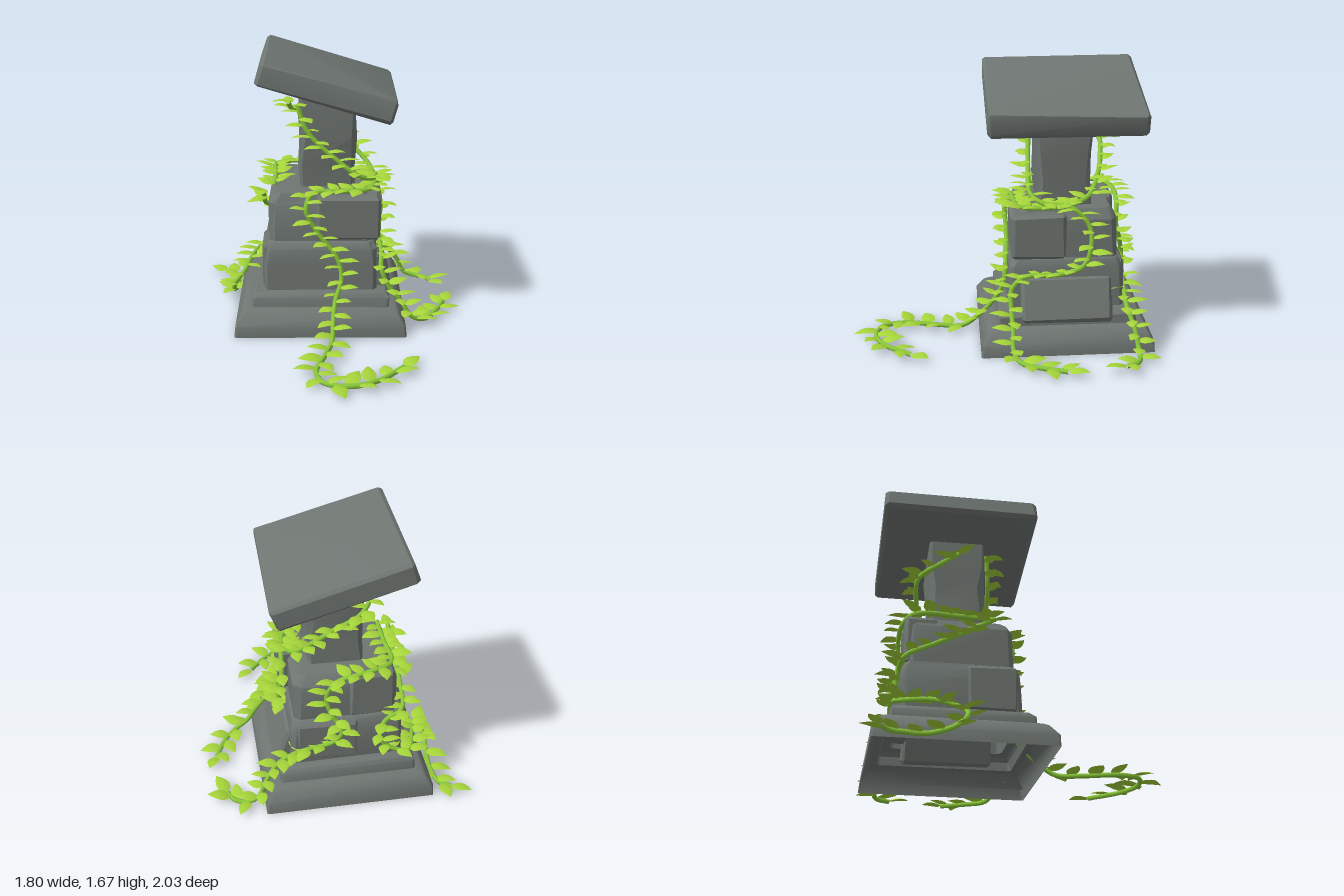
import * as THREE from 'three';
import { toCreasedNormals } from 'three/addons/utils/BufferGeometryUtils.js';
import { ConvexGeometry } from 'three/addons/geometries/ConvexGeometry.js';

const stone = new THREE.MeshStandardMaterial({ color: 0x6f7672, side: THREE.DoubleSide });
stone.name = 'stone grey';
const stemGreen = new THREE.MeshStandardMaterial({ color: 0x8ac83a });
stemGreen.name = 'vine green';
const leafGreen = new THREE.MeshStandardMaterial({ color: 0xa6d53a, side: THREE.DoubleSide });
leafGreen.name = 'leaf green';

const CENTER = new THREE.Vector3(0.07, 0, -0.07);
const TURN = 0.71;

// Small seeded random, -1 to 1
let seed = 11;
function rand() {
  seed = (seed * 16807) % 2147483647;
  return (seed / 2147483647) * 2 - 1;
}

function addMesh(parent, name, geometry, material) {
  const mesh = new THREE.Mesh(geometry, material);
  mesh.name = name;
  parent.add(mesh);
  return mesh;
}

// Hollow square tower with cut corners; rings are [y, half width, corner cut, z offset, roughness]
function towerGeometry(rings) {
  const pos = [], index = [];
  rings.forEach(([y, h, c, oz, rough], i) => {
    const k = h - c;
    const ring = [[h, -k], [h, k], [k, h], [-k, h], [-h, k], [-h, -k], [-k, -h], [k, -h]];
    ring.forEach(([x, z], j) => {
      pos.push(x + rand() * rough, y, z + oz + rand() * rough);
      if (i === 0) return;
      const a = (i - 1) * 8 + j, b = (i - 1) * 8 + (j + 1) % 8;
      index.push(a, a + 8, b, b, a + 8, b + 8);
    });
  });
  const geo = new THREE.BufferGeometry();
  geo.setAttribute('position', new THREE.Float32BufferAttribute(pos, 3));
  geo.setIndex(index);
  geo.computeVertexNormals();
  return toCreasedNormals(geo, 0.6);
}

// Chiselled block with chamfered edges
function blockGeometry(w, h, d, c, rough) {
  const pts = [];
  for (const x of [-1, 1]) for (const y of [-1, 1]) for (const z of [-1, 1]) {
    for (let axis = 0; axis < 3; axis++) {
      const cut = [c, c, c];
      cut[axis] = 0;
      pts.push(new THREE.Vector3(
        x * (w / 2 - cut[0]) + rand() * rough,
        y * (h / 2 - cut[1]) + rand() * rough,
        z * (d / 2 - cut[2]) + rand() * rough));
    }
  }
  return toCreasedNormals(new ConvexGeometry(pts), 0.5);
}

// Pointed leaf along +z, folded along its midrib and arched
function leafGeometry() {
  const pos = [], index = [], steps = 6;
  for (let i = 0; i <= steps; i++) {
    const t = i / steps;
    const half = 0.038 * Math.sin(Math.PI * Math.pow(t, 0.75));
    const y = 0.014 * Math.sin(Math.PI * t);
    pos.push(-half, y - half * 0.25, t * 0.13, 0, y, t * 0.13, half, y - half * 0.25, t * 0.13);
    if (i === 0) continue;
    for (let j = 0; j < 2; j++) {
      const a = (i - 1) * 3 + j;
      index.push(a, a + 3, a + 1, a + 1, a + 3, a + 4);
    }
  }
  const geo = new THREE.BufferGeometry();
  geo.setAttribute('position', new THREE.Float32BufferAttribute(pos, 3));
  geo.setIndex(index);
  geo.computeVertexNormals();
  return geo;
}

// Stem along a curve, with leaves alternating to either side, denser on the walls
function makeVine(name, points, leafGeo) {
  const vine = new THREE.Group();
  vine.name = name;
  const curve = new THREE.CatmullRomCurve3(points.map((p) => new THREE.Vector3(...p)));
  addMesh(vine, 'stem', new THREE.TubeGeometry(curve, points.length * 6, 0.015, 7), stemGreen);
  const length = curve.getLength();

  function addLeaf(distance, side) {
    const p = curve.getPointAt(distance / length), t = curve.getTangentAt(distance / length);
    // On walls leaves fan outward, on the ground they follow the stem
    const climbing = Math.abs(t.y) > 0.45;
    const heading = climbing ? Math.atan2(p.x - CENTER.x, p.z - CENTER.z) : Math.atan2(t.x, t.z);
    const leaf = addMesh(vine, 'leaf', leafGeo, leafGreen);
    leaf.position.set(p.x, p.y + 0.006, p.z);
    leaf.rotation.set(-0.06 + rand() * 0.12, heading + side * (1 + rand() * 0.25), rand() * 0.15, 'YXZ');
    leaf.scale.setScalar((p.y < 0.05 ? 1.08 : 0.97) + rand() * 0.12);
    return p.y < 0.05 ? 0.064 : 0.043;
  }

  let side = 1;
  for (let d = 0.01; d < length - 0.03; side = -side) d += addLeaf(d, side);
  addLeaf(length, 0);
  return vine;
}

export function createModel() {
  seed = 11;
  const model = new THREE.Group();
  model.name = 'overgrownPedestal';

  const pedestal = new THREE.Group();
  pedestal.name = 'pedestal';
  pedestal.position.copy(CENTER);
  pedestal.rotation.y = TURN;
  model.add(pedestal);

  // Stepped foot, two tiers and column as one hollow shell
  addMesh(pedestal, 'steppedBody', towerGeometry([
    [0, 0.522, 0.01, 0, 0.004], [0.07, 0.518, 0.015, 0, 0.006], [0.135, 0.48, 0.015, 0, 0.005],
    [0.15, 0.46, 0.02, 0, 0.004], [0.155, 0.42, 0.015, 0, 0.004], [0.21, 0.415, 0.015, 0, 0.005],
    [0.235, 0.395, 0.02, 0, 0.004], [0.24, 0.345, 0.02, 0, 0.006], [0.4, 0.345, 0.025, 0, 0.008],
    [0.5, 0.342, 0.03, 0, 0.006], [0.54, 0.322, 0.03, 0, 0.005], [0.545, 0.312, 0.03, 0, 0.004],
    [0.78, 0.312, 0.04, 0, 0.006], [0.84, 0.275, 0.04, 0, 0.006], [0.845, 0.168, 0.02, 0.04, 0.006],
    [0.98, 0.165, 0.025, 0.04, 0.012], [1.15, 0.168, 0.035, 0.045, 0.012], [1.3, 0.172, 0.015, 0.045, 0.008],
    [1.46, 0.172, 0.015, 0.045, 0.005],
  ]), stone);

  // Single stones standing proud of the tiers: [name, size, position, lean]
  const stones = [
    ['frontCornerStone', [0.33, 0.28, 0.39], [-0.165, 0.69, 0.17], 0],
    ['backCornerStone', [0.2, 0.3, 0.28], [0.23, 0.69, -0.155], 0],
    ['lowerBackStone', [0.3, 0.28, 0.1], [-0.18, 0.39, -0.305], 0],
    ['lowerRightStone', [0.1, 0.27, 0.38], [0.305, 0.39, 0.12], 0],
    ['leaningStone', [0.55, 0.28, 0.14], [0, 0.288, 0.332], -0.34],
  ];
  for (const [name, size, position, lean] of stones) {
    const block = addMesh(pedestal, name, blockGeometry(...size, 0.02, 0.005), stone);
    block.position.set(...position);
    block.rotation.x = lean;
  }

  // Tilted top slab
  const slab = addMesh(pedestal, 'topSlab', blockGeometry(0.94, 0.145, 0.83, 0.02, 0.006), stone);
  slab.position.set(0.005, 1.49, 0.04);
  slab.rotation.x = 0.285;

  // Vines
  const leafGeo = leafGeometry();
  model.add(makeVine('frontVine', [
    [-0.16, 1.37, -0.06], [-0.13, 1.2, 0], [-0.02, 1.02, 0.15], [0.06, 0.93, 0.24], [0.17, 0.89, 0.26],
    [0.32, 0.87, 0.18], [0.41, 0.76, 0.12], [0.43, 0.63, 0.13], [0.39, 0.51, 0.15], [0.28, 0.46, 0.24],
    [0.12, 0.45, 0.38], [0.06, 0.37, 0.43], [0.09, 0.25, 0.47], [0.14, 0.16, 0.52], [0.18, 0.06, 0.57],
    [0.26, 0.02, 0.61], [0.4, 0.02, 0.6], [0.56, 0.02, 0.55],
  ], leafGeo));
  model.add(makeVine('leftVine', [
    [-0.06, 1.34, -0.22], [0.04, 1.27, -0.28], [0.19, 1.21, -0.29], [0.29, 1.12, -0.17], [0.34, 1.03, -0.07],
    [0.36, 0.92, 0.07], [0.26, 0.87, 0.2], [0.05, 0.865, 0.33], [-0.1, 0.86, 0.2], [-0.2, 0.85, 0.1],
    [-0.25, 0.76, 0.09], [-0.21, 0.63, 0.13], [-0.13, 0.44, 0.24], [-0.13, 0.32, 0.27], [-0.2, 0.2, 0.28],
    [-0.28, 0.1, 0.33], [-0.36, 0.03, 0.39], [-0.52, 0.02, 0.47], [-0.7, 0.02, 0.56], [-0.77, 0.02, 0.68],
    [-0.7, 0.02, 0.82], [-0.55, 0.02, 0.89], [-0.33, 0.02, 0.9],
  ], leafGeo));
  model.add(makeVine('rightVine', [
    [-0.26, 0.86, -0.16], [-0.09, 0.87, -0.3], [0.09, 0.87, -0.45], [0.25, 0.865, -0.37], [0.37, 0.82, -0.24],
    [0.4, 0.7, -0.19], [0.4, 0.59, -0.23], [0.38, 0.48, -0.29], [0.41, 0.4, -0.25], [0.54, 0.33, -0.07],
    [0.62, 0.26, 0.02], [0.7, 0.16, 0.06], [0.75, 0.05, 0.09], [0.8, 0.02, 0.15], [0.82, 0.02, 0.22],
    [0.79, 0.02, 0.29],
  ], leafGeo));
  // Crosses the back, loops round the corner and returns to the ground
  model.add(makeVine('backVine', [
    [-0.31, 0.83, -0.21], [-0.18, 0.74, -0.32], [-0.04, 0.64, -0.45], [0.1, 0.565, -0.54], [0.19, 0.51, -0.48],
    [0.22, 0.42, -0.46], [0.2, 0.33, -0.49], [0.11, 0.27, -0.6], [-0.08, 0.26, -0.53], [-0.22, 0.21, -0.47],
    [-0.29, 0.15, -0.48], [-0.25, 0.07, -0.54], [-0.13, 0.02, -0.63], [-0.03, 0.02, -0.72], [0.02, 0.02, -0.79],
    [0.01, 0.02, -0.87],
  ], leafGeo));

  return model;
}
